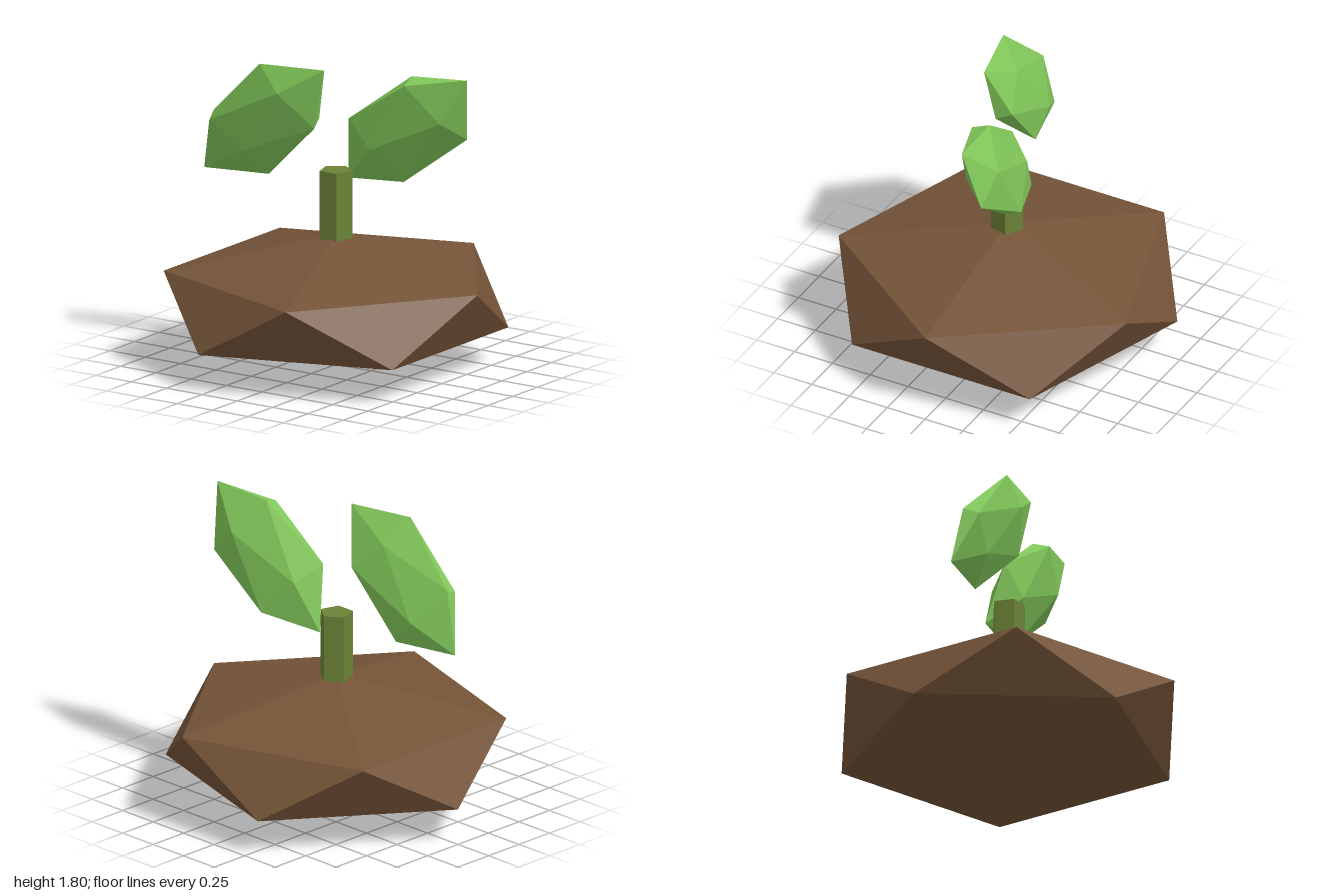
import * as THREE from 'three';
import { ConvexGeometry } from 'three/addons/geometries/ConvexGeometry.js';

const material = (name, color) => {
  const m = new THREE.MeshStandardMaterial({ color, flatShading: true });
  m.name = name;
  return m;
};

export function createModel() {
  const soil = material('soil brown', 0x755438);
  const stemGreen = material('stem green', 0x6b8236);
  const leafGreen = material('leaf green', 0x82c95a);
  const model = new THREE.Group();
  model.name = 'sprout';

  const add = (name, geometry, mat, x, y, z) => {
    const mesh = new THREE.Mesh(geometry, mat);
    mesh.name = name;
    mesh.position.set(x, y, z);
    model.add(mesh);
    return mesh;
  };

  // Flattened twenty-sided clod: two poles and two staggered rings of five
  const clod = [new THREE.Vector3(0, 0.393, 0), new THREE.Vector3(0, -0.393, 0)];
  for (let i = 0; i < 10; i++) {
    const a = (i * Math.PI) / 5;
    clod.push(new THREE.Vector3(Math.cos(a), i % 2 ? -0.175 : 0.175, Math.sin(a)));
  }
  add('soilClod', new ConvexGeometry(clod), soil, 0, 0.393, 0);

  // Five-sided stem, sunk into the clod
  const stem = add('stem', new THREE.CylinderGeometry(0.1, 0.1, 0.47, 5), stemGreen, 0, 0.935, 0);
  stem.rotation.y = Math.PI;

  // Each leaf is a stretched twenty-sided solid: six corners and their opposites
  const leaf = (name, corners, x, y, z) => {
    const points = corners.flatMap((c) => {
      const v = new THREE.Vector3(...c);
      return [v, v.clone().negate()];
    });
    add(name, new ConvexGeometry(points), leafGreen, x, y, z);
  };

  leaf('rightLeaf', [
    [0.425, 0.355, 0], [0.03, 0.355, 0.09], [0.335, -0.015, -0.026],
    [0.305, 0.025, -0.12], [0.165, 0.198, 0.108], [0.115, 0.195, -0.051],
  ], -0.405, 1.445, 0.147);

  leaf('leftLeaf', [
    [0.42, 0.355, 0], [0.065, 0.295, 0.127], [0.045, 0.33, 0.024],
    [-0.355, 0.03, 0.092], [0.265, 0.08, 0.057], [-0.19, -0.13, 0.115],
  ], 0.405, 1.443, -0.147);

  return model;
}
